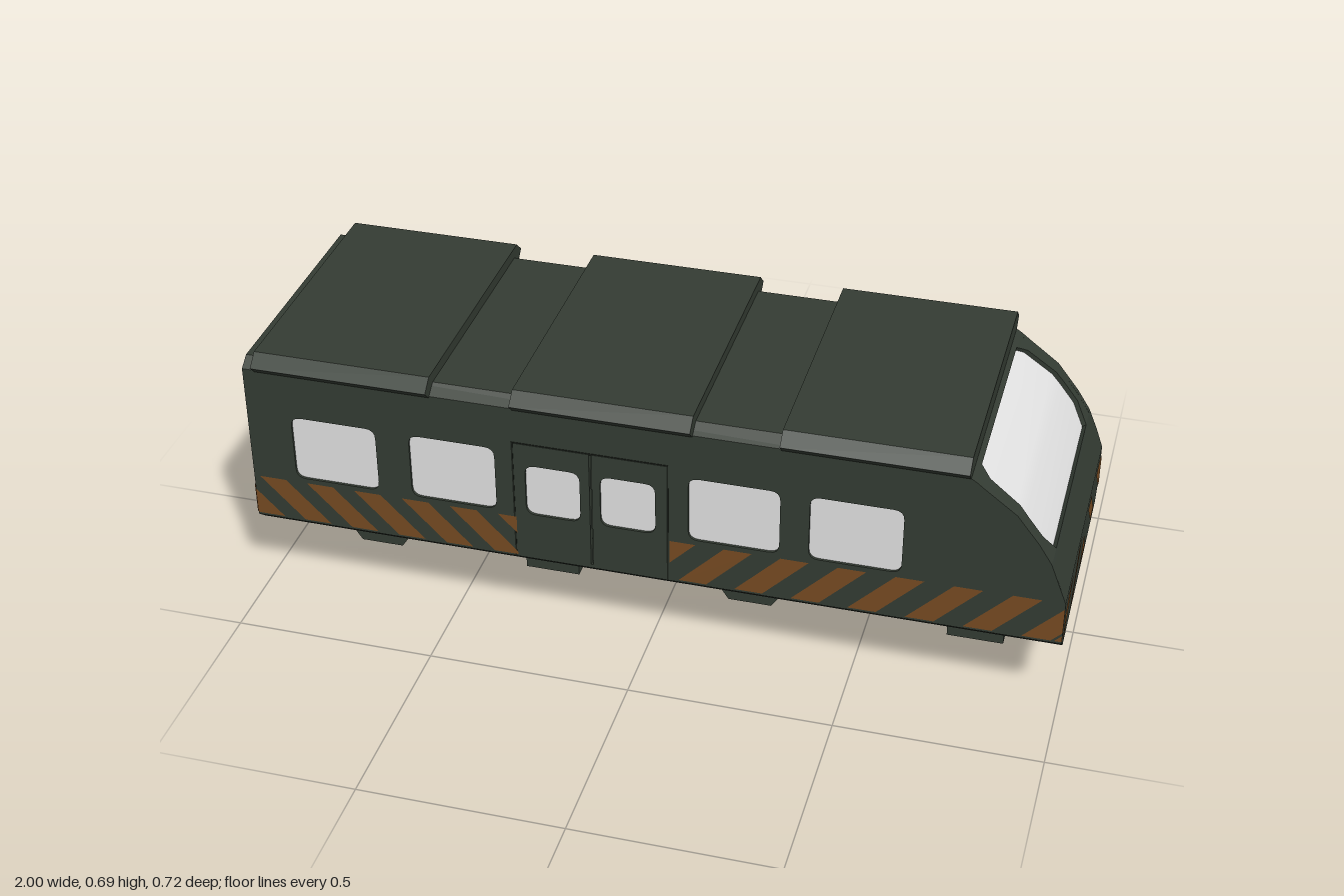
import * as THREE from 'three';

const mat = (name, color) => {
  const m = new THREE.MeshStandardMaterial({ color, side: THREE.DoubleSide });
  m.name = name;
  return m;
};

const polygon = (pts) => new THREE.Shape(pts.map(([x, y]) => new THREE.Vector2(x, y)));

// rectangle with rounded corners, given by its edges
function roundedRect(x0, x1, y0, y1, r = 0.025) {
  const s = new THREE.Shape();
  s.moveTo(x0 + r, y0);
  s.lineTo(x1 - r, y0).quadraticCurveTo(x1, y0, x1, y0 + r);
  s.lineTo(x1, y1 - r).quadraticCurveTo(x1, y1, x1 - r, y1);
  s.lineTo(x0 + r, y1).quadraticCurveTo(x0, y1, x0, y1 - r);
  s.lineTo(x0, y0 + r).quadraticCurveTo(x0, y0, x0 + r, y0);
  return s;
}

// keep the part of a polygon where sign * (x - limit) >= 0
function clipX(pts, limit, sign) {
  const out = [];
  pts.forEach((a, i) => {
    const b = pts[(i + 1) % pts.length];
    const da = sign * (a[0] - limit), db = sign * (b[0] - limit);
    if (da >= 0) out.push(a);
    if (da * db < 0) {
      const t = da / (da - db);
      out.push([limit, a[1] + (b[1] - a[1]) * t]);
    }
  });
  return out;
}

// ruled surface between two rails of 3D points
function loft(a, b, flat = false) {
  const g = new THREE.BufferGeometry();
  g.setAttribute('position', new THREE.Float32BufferAttribute([...a, ...b].flat(), 3));
  const n = a.length, index = [];
  for (let i = 0; i < n - 1; i++) index.push(i, n + i, i + 1, i + 1, n + i, n + i + 1);
  g.setIndex(index);
  const out = flat ? g.toNonIndexed() : g;
  out.computeVertexNormals();
  return out;
}

export function createModel() {
  const model = new THREE.Group();
  model.name = 'railcar';
  const paint = mat('dark green paint', 0x343c33);
  const orange = mat('orange stripe', 0x774b22);
  const glass = mat('pale glass', 0xe4e4e4);
  const seam = mat('dark seam', 0x1b201a);

  const add = (name, geometry, material) => {
    const m = new THREE.Mesh(geometry, material);
    m.name = name;
    model.add(m);
    return m;
  };
  const extrudeZ = (shape, depth) =>
    new THREE.ExtrudeGeometry(shape, { depth, bevelEnabled: false, curveSegments: 4 });

  const W = 0.335, BACK = -0.998, FRONT = 0.998;
  const nose = [[0.755, 0.645], [0.775, 0.632], [0.79, 0.62], [0.87, 0.56], [0.925, 0.49],
    [0.957, 0.44], [FRONT, 0.335]];

  // side walls with window openings and a narrow gap between the door leaves
  const windows = [[-0.885, -0.67, 0.525], [-0.585, -0.37, 0.525], [-0.295, -0.16, 0.49],
    [-0.11, 0.025, 0.49], [0.105, 0.325, 0.525], [0.395, 0.615, 0.525]]
    .map(([x0, x1, y1]) => roundedRect(x0, x1, 0.35, y1));
  const wall = polygon([[BACK, 0.22], [FRONT, 0.22], ...[...nose].reverse(), [BACK, 0.645]]);
  wall.holes.push(...windows,
    polygon([[-0.136, 0.23], [-0.13, 0.23], [-0.13, 0.55], [-0.136, 0.55]]));

  // slanted warning stripes, leaning outwards from the door
  const stripes = [];
  const addStripe = (bottom, shift, min, max) => {
    const p = [[bottom, 0.227], [bottom + 0.068, 0.227],
      [bottom + 0.068 + shift, 0.338], [bottom + shift, 0.338]];
    const c = clipX(clipX(p, min, 1), max, -1);
    if (c.length > 2) stripes.push(polygon(c));
  };
  for (let k = 0; k < 7; k++) {
    addStripe(-0.995 + k * 0.123, -0.11, BACK, -0.32);
    addStripe(-0.055 + 0.137 * (k + 1), 0.11, 0.06, FRONT);
  }
  addStripe(-0.055, 0.11, 0.06, FRONT);
  addStripe(0.94 + 0.04, 0.11, 0.06, FRONT);

  for (const s of [1, -1]) {
    add('sideWall', extrudeZ(wall, 0.015), paint).position.z = s > 0 ? W - 0.015 : -W;
    add('sideWindows', extrudeZ(windows, 0.005), glass).position.z = s * 0.326 - 0.0025;
    add('sideStripes', new THREE.ShapeGeometry(stripes), orange).position.z = s * (W + 0.002);
    // door outline
    for (const x of [-0.325, 0.055]) {
      add('doorSeam', new THREE.BoxGeometry(0.004, 0.33, 0.003), seam)
        .position.set(x, 0.385, s * W);
    }
    add('doorTopSeam', new THREE.BoxGeometry(0.384, 0.004, 0.003), seam)
      .position.set(-0.135, 0.55, s * W);
  }

  // chamfered floor and roof skins
  const skin = (section, x0, x1) =>
    loft(section.map(([z, y]) => [x0, y, z]), section.map(([z, y]) => [x1, y, z]), true);
  add('floor', skin([[-W, 0.22], [-0.3, 0.19], [0.3, 0.19], [W, 0.22]], BACK, FRONT), paint);
  add('roof', skin([[W, 0.645], [0.305, 0.667], [-0.305, 0.667], [-W, 0.645]], BACK, 0.757), paint);

  // flat end walls with chevron stripes
  const lower = [[-W, 0.22], [-0.3, 0.19], [0.3, 0.19], [W, 0.22]];
  const rear = polygon([...lower, [W, 0.645], [0.305, 0.667], [-0.305, 0.667], [-W, 0.645]]);
  const front = polygon([...lower, [W, 0.335], [-W, 0.335]]);
  const chevrons = [polygon([[-0.055, 0.228], [0.055, 0.228], [0.01, 0.29], [-0.01, 0.29]])];
  for (const s of [1, -1]) {
    chevrons.push(
      polygon([[0.22, 0.228], [0.163, 0.228], [0.052, 0.335], [0.114, 0.335]]
        .map(([z, y]) => [s * z, y])),
      polygon([[W, 0.228], [0.315, 0.228], [0.215, 0.325], [0.215, 0.335], [0.283, 0.335], [W, 0.308]]
        .map(([z, y]) => [s * z, y])));
  }
  for (const [end, shape, x, s] of [['rear', rear, BACK, -1], ['front', front, FRONT, 1]]) {
    const w = add(end + 'Wall', new THREE.ShapeGeometry(shape), paint);
    const c = add(end + 'Stripes', new THREE.ShapeGeometry(chevrons), orange);
    w.rotation.y = c.rotation.y = s * Math.PI / 2;
    w.position.x = x;
    c.position.x = x + s * 0.002;
  }

  // curved nose around the windscreen: [x, y, half width of the opening]
  const xAt = (y) => {
    const i = nose.findIndex((p, k) => k > 0 && p[1] <= y);
    const [a, b] = [nose[i - 1], nose[i]];
    return a[0] + (b[0] - a[0]) * (a[1] - y) / (a[1] - b[1]);
  };
  const opening = [[0.634, 0.26], [0.615, 0.285], [0.56, 0.292], [0.53, 0.295], [0.485, 0.295],
    [0.438, 0.265]].map(([y, w]) => [xAt(y), y, w]);
  const rail = (rows, s, inset = 0) =>
    rows.map(([x, y, w]) => [x - inset, y - inset * 0.8, s * w]);
  const full = (rows) => rows.map(([x, y]) => [x, y, W]);
  for (const s of [1, -1]) {
    add('nosePillar', loft(rail(opening, s), rail(full(opening), s)), paint);
    add('windscreenRim', loft(rail(opening, s), rail(opening, s, 0.009)), paint);
  }
  const last = opening.length - 1;
  for (const row of [opening[0], opening[last]]) {
    add('windscreenRim', loft([rail([row], 1)[0], rail([row], -1)[0]],
      [rail([row], 1, 0.009)[0], rail([row], -1, 0.009)[0]]), paint);
  }
  add('windscreen', loft(rail(opening, 1, 0.009), rail(opening, -1, 0.009)), glass);
  const brow = full([nose[0], opening[0]]);
  const apron = full([opening[last], [0.98, 0.385], nose[nose.length - 1]]);
  add('noseBrow', loft(rail(brow, 1), rail(brow, -1)), paint);
  add('noseApron', loft(rail(apron, 1), rail(apron, -1)), paint);

  // overhanging roof covers
  const cover = polygon([[-0.338, 0.643], [0.338, 0.643], [0.36, 0.665], [0.328, 0.694],
    [-0.328, 0.694], [-0.36, 0.665]]);
  for (const [x0, x1] of [[-0.965, -0.525], [-0.32, 0.115], [0.325, 0.76]]) {
    const c = add('roofCover', extrudeZ(cover, x1 - x0), paint);
    c.rotation.y = Math.PI / 2;
    c.position.x = x0;
  }

  // chassis beam and the feet below it
  add('chassis', new THREE.BoxGeometry(1.965, 0.046, 0.36), paint).position.set(-0.002, 0.168, 0);
  const taper = polygon([[-0.055, 0], [0.055, 0], [0.105, 0.075], [0.137, 0.146],
    [-0.137, 0.146], [-0.105, 0.075]]);
  const bracket = polygon([[-0.07, 0], [0.07, 0], [0.07, 0.067], [0.176, 0.133], [0.176, 0.146],
    [-0.176, 0.146], [-0.176, 0.133], [-0.07, 0.067]]);
  for (const [name, shape, x] of [['taperedFoot', taper, -0.78], ['bracketFoot', bracket, -0.317],
    ['taperedFoot', taper, 0.2], ['bracketFoot', bracket, 0.77]]) {
    add(name, extrudeZ(shape, 0.18), paint).position.set(x, 0, -0.09);
  }
  return model;
}
